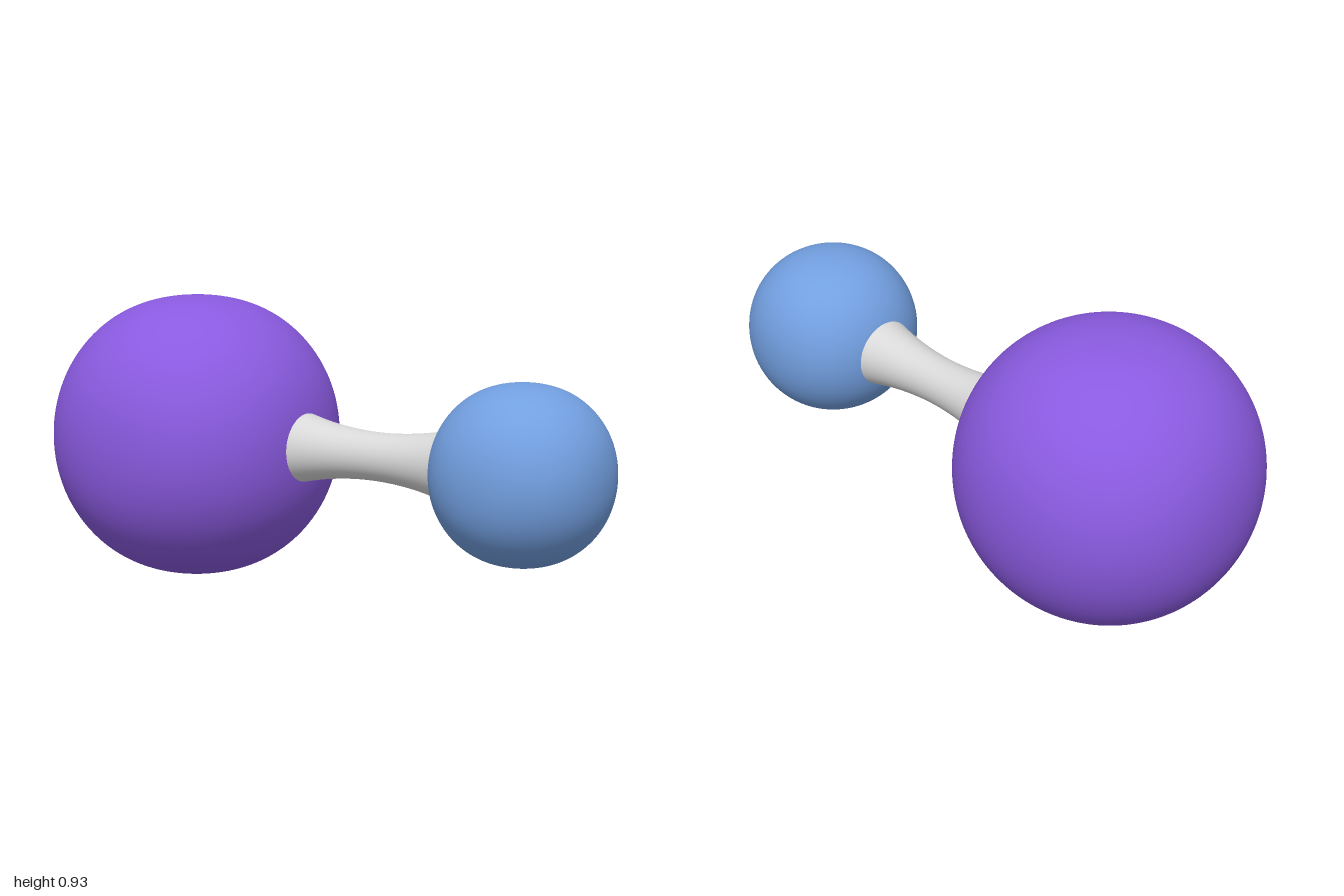
import * as THREE from 'three';
import { mergeVertices } from 'three/addons/utils/BufferGeometryUtils.js';

const AXIS_Y = 0.4675;

// Slightly boxy ball: a finely divided cube pushed out to a softened sphere
function softBall(radius) {
  let geo = new THREE.BoxGeometry(2, 2, 2, 32, 32, 32);
  geo.deleteAttribute('uv');
  geo.deleteAttribute('normal');
  geo = mergeVertices(geo, 1e-4);
  const pos = geo.attributes.position;
  const v = new THREE.Vector3();
  for (let i = 0; i < pos.count; i++) {
    v.fromBufferAttribute(pos, i);
    // Even out the spacing, then bulge towards the cube's edges and corners
    v.set(...v.toArray().map((c) => Math.tan((c * Math.PI) / 4))).normalize();
    const t = 1 - (v.x ** 4 + v.y ** 4 + v.z ** 4);
    v.multiplyScalar(radius * (1 + 0.0737 * t - 0.0395 * t * t));
    pos.setXYZ(i, v.x, v.y, v.z);
  }
  geo.computeVertexNormals();
  return geo;
}

export function createModel() {
  const group = new THREE.Group();
  const purple = new THREE.MeshStandardMaterial({ color: 0x8a5ae0 });
  purple.name = 'purple';
  const blue = new THREE.MeshStandardMaterial({ color: 0x729fe0 });
  blue.name = 'blue';
  const grey = new THREE.MeshStandardMaterial({ color: 0xd8d8d8 });
  grey.name = 'light grey';

  const add = (name, geometry, material, z) => {
    const mesh = new THREE.Mesh(geometry, material);
    mesh.name = name;
    mesh.position.set(0, AXIS_Y, z);
    group.add(mesh);
    return mesh;
  };

  // Two balls at the ends
  add('largeBall', softBall(0.4645), purple, -0.5355);
  add('smallBall', softBall(0.278), blue, 0.722);

  // Waisted neck joining them
  const half = 0.28;
  const profile = [];
  for (let i = 0; i <= 24; i++) {
    const t = i / 12 - 1;
    profile.push(new THREE.Vector2(0.077 + 0.036 * t * t, t * half));
  }
  const neck = add('neck', new THREE.LatheGeometry(profile, 48), grey, 0.191);
  neck.rotation.x = Math.PI / 2;

  return group;
}
